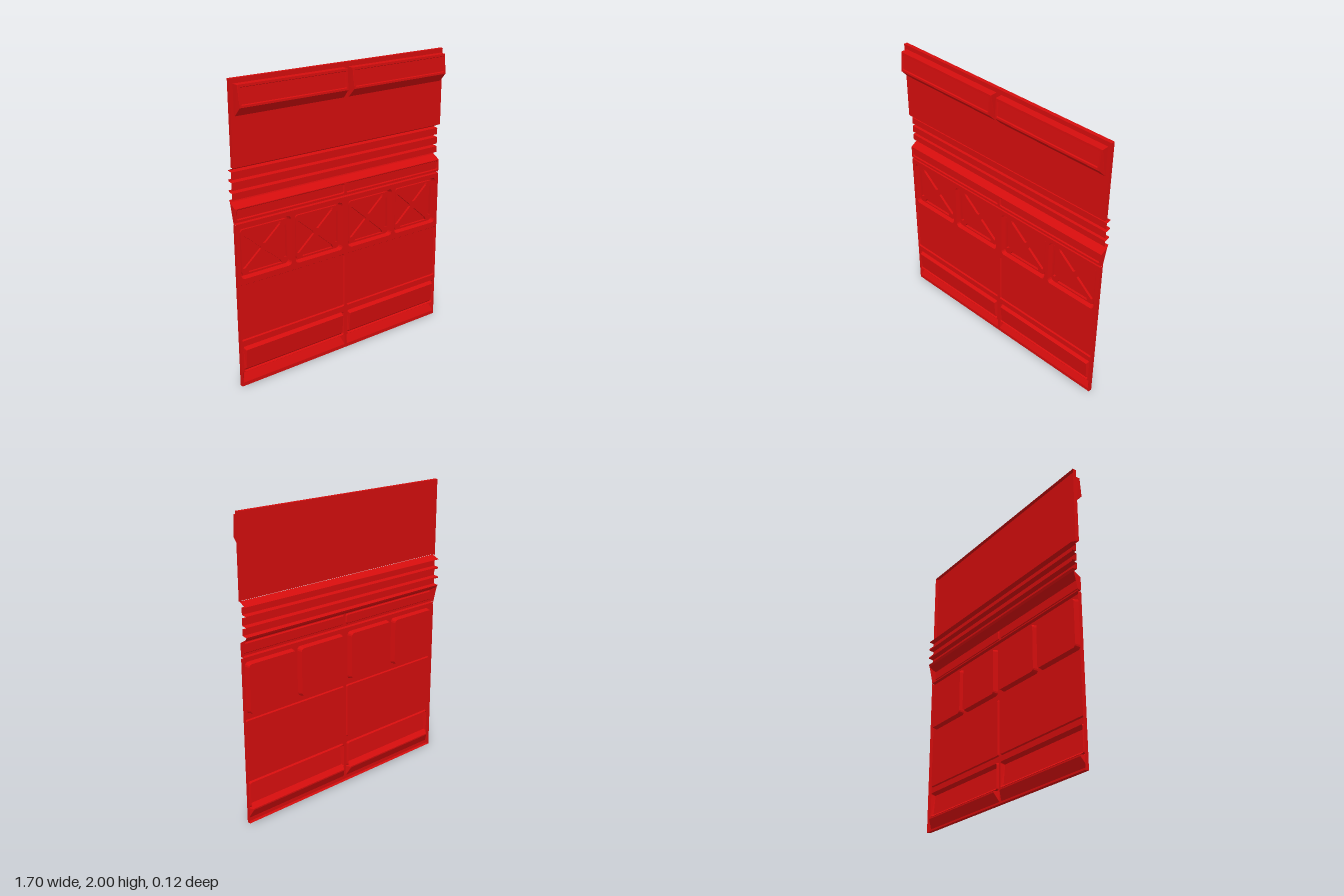
import * as THREE from 'three';

const material = new THREE.MeshStandardMaterial({ color: 0xd40d0d, flatShading: true, side: THREE.DoubleSide });
const W = 0.85;      // half width of the wall
const FLANGE = 0.025; // depth of the folded edges

export function createModel() {
  const model = new THREE.Group();

  function add(name, geometry, z = 0, parent = model) {
    const mesh = new THREE.Mesh(geometry, material);
    mesh.name = name;
    mesh.position.z = z;
    parent.add(mesh);
    return mesh;
  }

  function surface(positions, index) {
    const g = new THREE.BufferGeometry();
    g.setAttribute('position', new THREE.Float32BufferAttribute(positions, 3));
    g.setIndex(index);
    g.computeVertexNormals();
    return g;
  }

  // outline of a rectangle with rounded corners
  function outline([x0, x1, y0, y1], r) {
    const pts = [];
    const corners = [[x1 - r, y1 - r], [x0 + r, y1 - r], [x0 + r, y0 + r], [x1 - r, y0 + r]];
    corners.forEach(([cx, cy], i) => {
      for (let k = 0; k < 4; k++) {
        const a = (i + k / 3) * Math.PI / 2;
        pts.push(new THREE.Vector2(cx + r * Math.cos(a), cy + r * Math.sin(a)));
      }
    });
    return pts;
  }

  // nested rectangles joined into a stepped tray or boss; z runs from zBottom to zTop
  function tray(rings) {
    const pos = [], idx = [], n = 16;
    rings.forEach(({ rect, zb, zt = zb, r = 0.008 }) => {
      const [, , y0, y1] = rect;
      outline(rect, r).forEach(p => pos.push(p.x, p.y, zb + (zt - zb) * (p.y - y0) / (y1 - y0)));
    });
    for (let j = 0; j < rings.length - 1; j++)
      for (let i = 0; i < n; i++) {
        const a = j * n + i, b = j * n + (i + 1) % n;
        idx.push(a, b, b + n, a, b + n, a + n);
      }
    const last = (rings.length - 1) * n;
    for (let i = 1; i < n - 1; i++) idx.push(last, last + i, last + i + 1);
    return surface(pos, idx);
  }

  // folded sheet: a [y, z] profile carried across the whole width, listed top down
  function fold(profile) {
    const pos = [], idx = [];
    profile.forEach(([y, z]) => pos.push(-W, y, z, W, y, z));
    for (let i = 0; i < profile.length - 1; i++) {
      const a = i * 2;
      idx.push(a, a + 2, a + 3, a, a + 3, a + 1);
    }
    return surface(pos, idx);
  }

  // flat sheet with openings
  function sheet(y0, y1, holes) {
    const shape = new THREE.Shape([[-W, y0], [W, y0], [W, y1], [-W, y1]].map(p => new THREE.Vector2(...p)));
    holes.forEach(([rect, r]) => shape.holes.push(new THREE.Path(outline(rect, r))));
    return new THREE.ShapeGeometry(shape);
  }

  // end plate in the y-z plane on both ends
  function endPlates(name, points) {
    for (const s of [-1, 1]) {
      const g = new THREE.ShapeGeometry(new THREE.Shape(points.map(([y, z]) => new THREE.Vector2(-z, y))));
      g.rotateY(Math.PI / 2);
      if (s < 0) g.scale(1, 1, 1);
      add(name, g).position.x = s * W;
    }
  }

  const inset = ([a, b, c, d], k) => [a + k, b - k, c + k, d - k];
  const mirror = ([a, b, c, d]) => [-b, -a, c, d];
  const both = rect => [rect, mirror(rect)];

  // upper wall
  add('upperWall', sheet(1.467, 2, []));
  add('upperTopFlange', fold([[2, 0], [2, -FLANGE]]));
  endPlates('upperSideFlange', [[1.467, 0], [2, 0], [2, -FLANGE], [1.467, -FLANGE]]);

  // two overhead boxes with a sunken face and a sloping underside
  for (const rect of both([0.02, 0.828, 1.78, 1.97])) {
    const [x0, x1] = rect;
    const face = [x0 + 0.004, x1 - 0.004, 1.835, 1.97];
    const panel = [x0 + 0.016, x1 - 0.016, 1.848, 1.955];
    add('overheadBox', tray([
      { rect, zb: 0, r: 0.002 },
      { rect, zb: 0.01, zt: 0.045, r: 0.002 },
      { rect: face, zb: 0.06, zt: 0.05, r: 0.002 },
      { rect: panel, zb: 0.059, zt: 0.051, r: 0.004 },
      { rect: inset(panel, 0.004), zb: 0.051, zt: 0.043, r: 0.004 },
    ]));
  }

  // ribbed band between the upper wall and the ledge
  const ribs = [[1.467, -0.005], [1.442, -0.06]];
  for (const [top, bottom] of [[1.436, 1.39], [1.37, 1.322], [1.302, 1.26]])
    ribs.push([top + 0.005, -0.06], [top, -0.025], [bottom, -0.025], [bottom - 0.005, -0.06]);
  ribs.push([1.24, -0.052], [1.21, 0]);
  add('ribbedBand', fold(ribs));

  // ledge with two long insets
  const ledgePanels = both([0.008, 0.842, 1.137, 1.205]);
  add('ledgeFront', sheet(1.122, 1.21, ledgePanels.map(r => [r, 0.012])));
  for (const rect of ledgePanels)
    add('ledgeInset', tray([
      { rect, zb: 0, r: 0.012 },
      { rect: inset(rect, 0.006), zb: -0.008 },
    ]));
  endPlates('ledgeEnd', [[1.24, -0.052], [1.21, 0], [1.122, 0], [1.122, -0.025]]);
  add('ledgeGroove', fold([[1.122, 0], [1.12, -FLANGE], [1.112, -FLANGE], [1.11, 0]]));

  // lower wall, opened for its trays
  const squares = [...both([0.025, 0.412, 0.743, 1.08]), ...both([0.44, 0.825, 0.743, 1.08])];
  const centres = both([0.01, 0.842, 0.32, 0.705]);
  const bumpers = both([0.015, 0.832, 0.1, 0.28]);
  const kicks = both([0.01, 0.84, 0.025, 0.098]);
  add('lowerWall', sheet(0, 1.11, [
    ...squares.map(r => [r, 0.025]), ...centres.map(r => [r, 0.01]),
    ...bumpers.map(r => [r, 0.012]), ...kicks.map(r => [r, 0.003]),
  ]));
  add('bottomFlange', fold([[0, 0], [0, -FLANGE]]));
  endPlates('lowerSideFlange', [[0, 0], [1.11, 0], [1.11, -FLANGE], [0, -FLANGE]]);

  // square trays with a cross of raised ribs
  const triangles = [];
  for (const s of [-1, 1])
    triangles.push(
      [[-0.125, s * 0.14], [0.125, s * 0.14], [0.118, s * 0.122], [0.006, s * 0.026], [-0.006, s * 0.026], [-0.118, s * 0.122]],
      [[s * 0.165, -0.11], [s * 0.165, 0.11], [s * 0.15, 0.108], [s * 0.03, 0.006], [s * 0.03, -0.006], [s * 0.15, -0.108]],
    );
  for (const rect of squares) {
    const group = new THREE.Group();
    group.name = 'crossPanel';
    model.add(group);
    add('crossPanelTray', tray([
      { rect, zb: 0, r: 0.025 },
      { rect: inset(rect, 0.008), zb: -0.035, r: 0.02 },
    ]), 0, group);
    const cx = (rect[0] + rect[1]) / 2, cy = (rect[2] + rect[3]) / 2;
    const plate = new THREE.Shape(outline(inset(rect, 0.019), 0.018));
    triangles.forEach(t => plate.holes.push(new THREE.Path(t.map(([x, y]) => new THREE.Vector2(cx + x, cy + y)))));
    add('crossRibs', new THREE.ExtrudeGeometry(plate, { depth: 0.016, bevelEnabled: false }), -0.0345, group);
  }

  // broad central panels
  for (const rect of centres)
    add('centrePanel', tray([
      { rect, zb: 0, r: 0.01 },
      { rect: inset(rect, 0.006), zb: -0.01, r: 0.008 },
    ]));

  // low bumpers leaning out at the top, with a sloping kick recess underneath
  for (const rect of bumpers) {
    const [x0, x1] = rect;
    add('bumper', tray([
      { rect, zb: 0, r: 0.012 },
      { rect: inset(rect, 0.006), zb: -0.014, r: 0.01 },
      { rect: [x0 + 0.016, x1 - 0.016, 0.122, 0.258], zb: 0.003, zt: 0.015, r: 0.004 },
    ]));
  }
  for (const rect of kicks) {
    const [x0, x1] = rect;
    add('kickRecess', tray([
      { rect, zb: 0, r: 0.003 },
      { rect: [x0 + 0.022, x1 - 0.022, 0.086, 0.095], zb: -0.03, r: 0.003 },
    ]));
  }

  return model;
}
